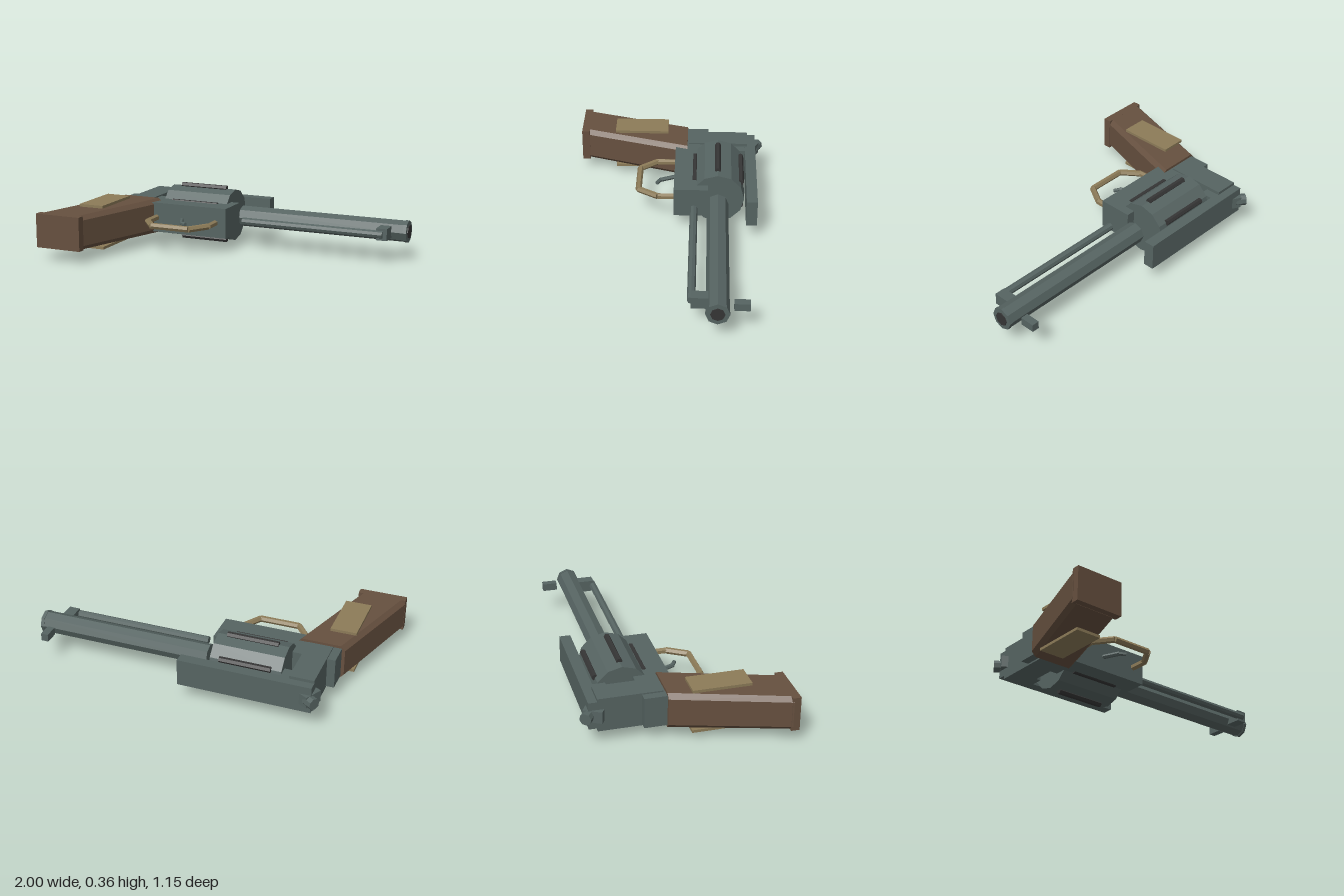
import * as THREE from 'three';

const mat = (name, color) => {
  const m = new THREE.MeshStandardMaterial({ color, flatShading: true });
  m.name = name;
  return m;
};

export function createModel() {
  const steel = mat('steel', 0x566462);
  const dark = mat('darkSteel', 0x353535);
  const wood = mat('wood', 0x66503f);
  const brass = mat('brass', 0x8c7b58);
  const model = new THREE.Group();
  model.name = 'revolver';
  const Y = 0.18; // mid-plane height; the gun lies on its side
  const BORE_Z = -0.295;

  const add = (name, geometry, material) => {
    const mesh = new THREE.Mesh(geometry, material);
    mesh.name = name;
    model.add(mesh);
    return mesh;
  };
  // box from its x, y and z ranges
  const box = (name, material, x0, x1, y0, y1, z0, z1) => {
    const m = add(name, new THREE.BoxGeometry(x1 - x0, y1 - y0, z1 - z0), material);
    m.position.set((x0 + x1) / 2, (y0 + y1) / 2, (z0 + z1) / 2);
    return m;
  };
  // straight faceted bar between two points given as [x, y, z]
  const bar = (name, material, a, b, r, sides) => {
    const p = new THREE.Vector3(...a), q = new THREE.Vector3(...b);
    const d = q.clone().sub(p);
    const m = add(name, new THREE.CylinderGeometry(r, r, d.length(), sides), material);
    m.position.copy(p).add(q).multiplyScalar(0.5);
    m.quaternion.setFromUnitVectors(new THREE.Vector3(0, 1, 0), d.normalize());
    return m;
  };

  // frame
  box('lowerFrame', steel, -0.786, -0.06, 0.09, 0.272, -0.235, -0.032);
  box('rearFrame', steel, -0.738, -0.594, 0.08, 0.28, -0.48, -0.115);
  box('recoilShield', steel, -0.65, -0.54, 0.1, 0.26, -0.466, -0.392);
  box('topStrap', steel, -0.738, 0.048, 0.1, 0.262, -0.53, -0.465);

  // rotating cylinder with raised dark ribs
  bar('cylinder', steel, [-0.535, Y, BORE_Z], [-0.113, Y, BORE_Z], 0.16, 12);
  for (let i = 0; i < 6; i++) {
    const a = Math.PI / 2 + i * Math.PI / 3;
    const y = Y + 0.162 * Math.sin(a), z = BORE_Z + 0.162 * Math.cos(a);
    bar('cylinderRib', dark, [-0.475, y, z], [-0.17, y, z], 0.018, 6);
  }

  // barrel, muzzle, sight and ejector
  bar('barrel', steel, [-0.062, Y, BORE_Z], [0.994, Y, BORE_Z], 0.064, 8);
  bar('muzzleRing', steel, [0.975, Y, BORE_Z], [0.995, Y, BORE_Z], 0.067, 8);
  bar('bore', dark, [0.96, Y, BORE_Z], [1, Y, BORE_Z], 0.04, 8);
  box('frontSight', steel, 0.89, 0.934, 0.157, 0.203, -0.47, -0.383);
  bar('ejectorRod', steel, [0, Y, -0.153], [0.88, Y, -0.153], 0.023, 8);
  box('ejectorLug', steel, 0.84, 0.905, 0.145, 0.215, -0.25, -0.15);

  // hammer
  const hammer = box('hammer', steel, -0.75, -0.69, 0.145, 0.215, -0.55, -0.44);
  hammer.rotation.y = -0.5;
  bar('hammerSpur', steel, [-0.764, Y, -0.553], [-0.71, Y, -0.517], 0.035, 8);

  // grip: chamfered section swept downward, raked back and slightly tapered
  const hx = 0.142, hy = 0.102, c = 0.026;
  const section = new THREE.Shape([
    [hx, hy - c], [hx - c, hy], [c - hx, hy], [-hx, hy - c],
    [-hx, c - hy], [c - hx, -hy], [hx - c, -hy], [hx, c - hy],
  ].map(([x, y]) => new THREE.Vector2(x, y)));
  const gripGeo = new THREE.ExtrudeGeometry(section, { depth: 0.64, bevelEnabled: false });
  const p = gripGeo.attributes.position;
  for (let i = 0; i < p.count; i++) {
    const z = p.getZ(i);
    p.setXYZ(i, p.getX(i) - 0.663 - 0.308 * z, Y + p.getY(i) * (1.05 - 0.08 * z), z - 0.105);
  }
  gripGeo.computeVertexNormals();
  add('grip', gripGeo, wood);
  box('gripButt', wood, -1, -0.712, 0.08, 0.282, 0.525, 0.573);
  for (const s of [-1, 1]) {
    const y = Y + s * 0.124;
    box('gripPanel', brass, -0.835, -0.68, y - 0.008, y + 0.008, 0.02, 0.354);
  }

  // trigger guard and trigger
  const guard = [[-0.525, -0.04], [-0.525, 0.082], [-0.445, 0.185], [-0.203, 0.185], [-0.13, 0.068], [-0.13, -0.04]];
  for (let i = 0; i < guard.length - 1; i++) {
    const [a, b] = [guard[i], guard[i + 1]];
    bar('triggerGuard', brass, [a[0], Y, a[1]], [b[0], Y, b[1]], 0.019, 6);
  }
  bar('trigger', steel, [-0.355, Y, -0.04], [-0.31, Y, 0.062], 0.013, 6);
  bar('triggerTip', steel, [-0.315, Y, 0.055], [-0.275, Y, 0.077], 0.012, 6);

  return model;
}
